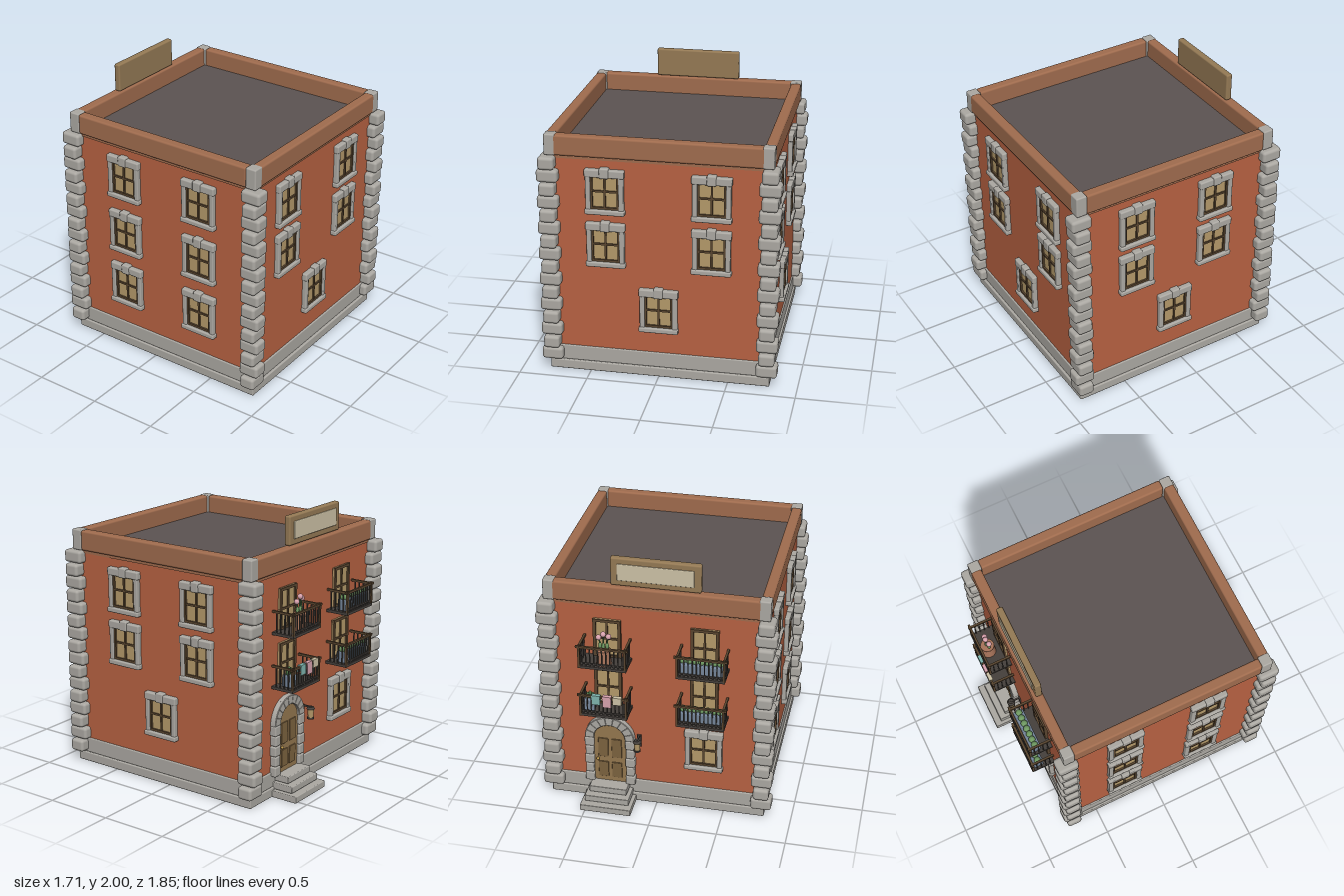
import * as THREE from 'three';
import { RoundedBoxGeometry } from 'three/addons/geometries/RoundedBoxGeometry.js';

const mat = (color) => new THREE.MeshStandardMaterial({ color });
const M = {
  brick: mat(0xb86242), stone: mat(0xaca9a3), trim: mat(0xa06c4e), roof: mat(0x5c5452),
  wood: mat(0x59452f), glass: mat(0xb59a6a), door: mat(0x94774f), panel: mat(0x7d633f),
  sign: mat(0x957a55), cream: mat(0xcdc2a6), iron: mat(0x45403c), terracotta: mat(0xa8745a),
  blue: mat(0x76879c), leaf: mat(0x6f9a62), cactus: mat(0x4f7a4a), pink: mat(0xd9a3ae),
  teal: mat(0x7fb5ae), brass: mat(0xb8934a),
};

function add(parent, name, geo, material, x = 0, y = 0, z = 0) {
  const m = new THREE.Mesh(geo, material);
  m.name = name;
  m.position.set(x, y, z);
  parent.add(m);
  return m;
}
const box = (p, name, w, h, d, material, x, y, z) =>
  add(p, name, new THREE.BoxGeometry(w, h, d), material, x, y, z);
const round = (p, name, w, h, d, r, material, x, y, z) =>
  add(p, name, new RoundedBoxGeometry(w, h, d, 2, r), material, x, y, z);
function group(parent, name, x = 0, y = 0, z = 0, ry = 0) {
  const g = new THREE.Group();
  g.name = name;
  g.position.set(x, y, z);
  g.rotation.y = ry;
  parent.add(g);
  return g;
}

const ZC = 0.072, HALF = 0.775; // middle of the building in z, half width of the walls

// Four-pane sash, centred on its origin, facing +z
function sash(p, w, h) {
  box(p, 'pane', w, h, 0.012, M.glass, 0, 0, 0.004);
  for (const s of [-1, 1]) {
    box(p, 'sashSide', 0.022, h, 0.026, M.wood, s * (w / 2 - 0.011), 0, 0.01);
    box(p, 'sashRail', w, 0.02, 0.026, M.wood, 0, s * (h / 2 - 0.01), 0.01);
  }
  box(p, 'mullion', 0.014, h, 0.022, M.wood, 0, 0, 0.009);
  box(p, 'transom', w, 0.014, 0.022, M.wood, 0, 0, 0.009);
}

// Stone-framed window
function stoneWindow(wall, x, y) {
  const g = group(wall, 'window', x, y, 0);
  sash(g, 0.215, 0.27);
  for (const s of [-1, 1]) round(g, 'jamb', 0.036, 0.27, 0.06, 0.008, M.stone, s * 0.117, -0.01, 0.004);
  round(g, 'lintel', 0.282, 0.058, 0.07, 0.01, M.stone, 0, 0.133, 0.002);
  round(g, 'keystone', 0.066, 0.075, 0.08, 0.01, M.stone, 0, 0.138, 0.004);
  round(g, 'sill', 0.284, 0.038, 0.08, 0.01, M.stone, 0, -0.15, 0.004);
}

// Balcony with its glazed door; y is the underside of the floor
function balcony(wall, x, y) {
  const g = group(wall, 'balcony', x, y, 0);
  const W = 0.345, D = 0.178, H = 0.168;
  sash(group(g, 'balconyDoor', 0, 0.165, 0), 0.2, 0.3);
  box(g, 'balconyFloor', W, 0.02, D, M.iron, 0, 0.01, D / 2);
  box(g, 'frontRail', W + 0.03, 0.016, 0.016, M.wood, 0, H, D - 0.008);
  box(g, 'frontLowerRail', W, 0.01, 0.01, M.iron, 0, 0.04, D - 0.008);
  for (const s of [-1, 1]) {
    box(g, 'sideRail', 0.016, 0.016, D + 0.01, M.wood, s * (W / 2 - 0.008), H, D / 2);
    box(g, 'cornerPost', 0.016, H + 0.014, 0.016, M.wood, s * (W / 2 - 0.008), H / 2 + 0.007, D - 0.008);
    for (let i = 1; i < 5; i++)
      box(g, 'sideBaluster', 0.008, H - 0.02, 0.008, M.iron, s * (W / 2 - 0.008), H / 2 + 0.006, i * 0.034);
  }
  for (let i = 1; i < 12; i++)
    box(g, 'baluster', 0.008, H - 0.02, 0.008, M.iron, -W / 2 + (i * W) / 12, H / 2 + 0.006, D - 0.008);
  return g;
}

// Long planter with a row of round shrubs
function planter(b) {
  round(b, 'planter', 0.31, 0.085, 0.075, 0.008, M.blue, 0, 0.065, 0.118);
  for (let i = 0; i < 7; i++)
    add(b, 'shrub', new THREE.SphereGeometry(0.025, 12, 8), M.leaf, (i - 3) * 0.044, 0.122, 0.118);
}

// Tapered pot with leafy stems and flowers
function flowerPot(b) {
  const g = group(b, 'flowerPot', 0, 0.02, 0.11);
  add(g, 'pot', new THREE.CylinderGeometry(0.045, 0.055, 0.1, 18), M.terracotta, 0, 0.05, 0);
  add(g, 'potRim', new THREE.CylinderGeometry(0.05, 0.05, 0.014, 18), M.terracotta, 0, 0.104, 0);
  [[-0.035, 0.205, 0], [0, 0.235, 0.005], [0.035, 0.215, -0.005]].forEach(([x, y, z]) => {
    const path = new THREE.LineCurve3(new THREE.Vector3(x * 0.3, 0.1, 0), new THREE.Vector3(x, y, z));
    add(g, 'stem', new THREE.TubeGeometry(path, 1, 0.005, 6), M.cactus);
    add(g, 'flower', new THREE.SphereGeometry(0.02, 12, 8), M.pink, x, y, z);
    add(g, 'leaf', new THREE.SphereGeometry(0.016, 8, 6), M.leaf, x * 0.7, 0.14, z).scale.set(0.8, 1.8, 0.8);
  });
}

// Cactus pot and washing hung over the front rail
function laundry(b) {
  round(b, 'cactusPot', 0.075, 0.09, 0.075, 0.01, M.blue, -0.11, 0.068, 0.105);
  for (const [x, h] of [[-0.018, 0.05], [0, 0.075], [0.018, 0.055]])
    add(b, 'cactus', new THREE.CapsuleGeometry(0.011, h, 3, 8), M.cactus, -0.11 + x, 0.12, 0.105);
  [[-0.05, 0.07, M.teal], [0.03, 0.085, M.pink], [0.105, 0.055, M.cream]].forEach(([x, h, m]) => {
    box(b, 'cloth', 0.062, h, 0.006, m, x, 0.178 - h / 2, 0.182);
    box(b, 'clothFold', 0.062, 0.006, 0.03, m, x, 0.179, 0.17);
    box(b, 'clothBack', 0.062, h * 0.7, 0.006, m, x, 0.178 - h * 0.35, 0.158);
  });
}

// Arched front door with stone surround, steps and lamp
function entrance(wall, x) {
  const g = group(wall, 'entrance', x, 0, 0);
  const y0 = 0.15, yc = 0.535, r = 0.12, R = 0.18;
  const leaf = new THREE.Shape();
  leaf.moveTo(-r, y0);
  leaf.lineTo(r, y0);
  leaf.lineTo(r, yc);
  leaf.absarc(0, yc, r, 0, Math.PI, false);
  add(g, 'doorLeaf', new THREE.ExtrudeGeometry(leaf, { depth: 0.03, bevelEnabled: false, curveSegments: 20 }), M.door, 0, 0, -0.005);
  for (const s of [-1, 1]) {
    round(g, 'doorPanelLow', 0.075, 0.13, 0.012, 0.004, M.panel, s * 0.05, 0.26, 0.027);
    round(g, 'doorPanelHigh', 0.075, 0.16, 0.012, 0.004, M.panel, s * 0.05, 0.45, 0.027);
    for (let i = 0; i < 5; i++)
      round(g, 'jambBlock', i % 2 ? 0.06 : 0.07, 0.075, 0.075, 0.01, M.stone, s * 0.152, y0 + 0.039 + i * 0.077, 0.01);
  }
  add(g, 'doorKnob', new THREE.SphereGeometry(0.012, 12, 8), M.brass, -0.09, 0.35, 0.038);
  // wedge stones of the arch
  const n = 9;
  for (let i = 0; i < n; i++) {
    const a = (i / n) * Math.PI + 0.015, b = ((i + 1) / n) * Math.PI - 0.015;
    const s = new THREE.Shape();
    s.absarc(0, 0, R, a, b, false);
    s.absarc(0, 0, r, b, a, true);
    const geo = new THREE.ExtrudeGeometry(s, { depth: 0.045, bevelSize: 0.004, bevelThickness: 0.004, bevelSegments: 1, curveSegments: 4 });
    add(g, 'archStone', geo, M.stone, 0, yc, -0.005);
  }
  [[0.38, 0.225], [0.33, 0.175], [0.28, 0.125]].forEach(([w, d], i) =>
    round(g, 'step', w, 0.05, d, 0.006, M.stone, 0, 0.025 + i * 0.054, d / 2));
  // lamp on a bracket beside the door
  const l = group(g, 'wallLamp', 0.215, 0.53, 0);
  box(l, 'lampPlate', 0.03, 0.1, 0.012, M.iron, 0, 0, 0.004);
  box(l, 'lampArm', 0.012, 0.012, 0.08, M.iron, 0, 0.045, 0.04);
  add(l, 'lampCap', new THREE.CylinderGeometry(0.02, 0.032, 0.016, 14), M.iron, 0, 0.04, 0.075);
  add(l, 'lampGlass', new THREE.CylinderGeometry(0.024, 0.02, 0.065, 14), M.glass, 0, 0, 0.075);
  add(l, 'lampBase', new THREE.CylinderGeometry(0.026, 0.026, 0.012, 14), M.iron, 0, -0.038, 0.075);
}

export function createModel() {
  const root = new THREE.Group();
  root.name = 'apartmentBuilding';

  // Body, plinth and roof
  box(root, 'walls', HALF * 2, 1.56, HALF * 2, M.brick, 0, 0.85, ZC);
  round(root, 'lowerPlinth', 1.6, 0.07, 1.6, 0.008, M.stone, 0, 0.035, ZC + 0.003);
  round(root, 'upperPlinth', 1.572, 0.115, 1.572, 0.008, M.stone, 0, 0.125, ZC);
  box(root, 'roof', 1.5, 0.02, 1.5, M.roof, 0, 1.645, ZC);
  box(root, 'wallBand', 1.565, 0.02, 1.565, M.trim, 0, 1.628, ZC);

  // Parapet and corner stones
  for (const s of [-1, 1]) {
    round(root, 'parapetSide', 0.075, 0.148, 1.44, 0.015, M.trim, s * 0.762, 1.713, ZC);
    round(root, 'parapetEnd', 1.48, 0.148, 0.075, 0.015, M.trim, 0, 1.713, ZC + s * 0.762);
    for (const t of [-1, 1]) {
      round(root, 'parapetPost', 0.082, 0.152, 0.082, 0.01, M.stone, s * 0.759, 1.714, ZC + t * 0.759);
      for (let i = 0; i < 16; i++) {
        const [w, d] = i % 2 ? [0.115, 0.153] : [0.153, 0.115];
        round(root, 'cornerStone', w, 0.093, d, 0.022, M.stone, s * 0.778, 0.127 + i * 0.0975, ZC + t * 0.778);
      }
    }
  }

  // Walls carrying the openings, each facing its own +z
  const front = group(root, 'frontWall', 0, 0, ZC + HALF);
  const left = group(root, 'leftWall', HALF, 0, ZC, Math.PI / 2);
  const right = group(root, 'rightWall', -HALF, 0, ZC, -Math.PI / 2);
  const back = group(root, 'backWall', 0, 0, ZC - HALF, Math.PI);
  for (const s of [-1, 1]) {
    for (const y of [1.395, 1.0]) {
      stoneWindow(front, s * 0.375, y);
      stoneWindow(left, s * 0.325, y);
    }
    for (const y of [1.395, 0.957, 0.52]) stoneWindow(right, s * 0.325, y);
  }
  stoneWindow(front, 0, 0.52);
  stoneWindow(left, 0, 0.52);
  stoneWindow(back, 0.348, 0.52);

  // Back wall: entrance and four balconies
  entrance(back, -0.345);
  planter(balcony(back, 0.348, 1.203));
  planter(balcony(back, 0.348, 0.808));
  flowerPot(balcony(back, -0.348, 1.203));
  laundry(balcony(back, -0.348, 0.808));

  // Blank sign board on the parapet
  const sign = group(root, 'signBoard', 0, 1.895, -0.682, Math.PI);
  round(sign, 'board', 0.635, 0.21, 0.048, 0.012, M.sign, 0, 0, 0);
  round(sign, 'boardFace', 0.54, 0.125, 0.02, 0.006, M.cream, 0, 0, 0.022);
  return root;
}
